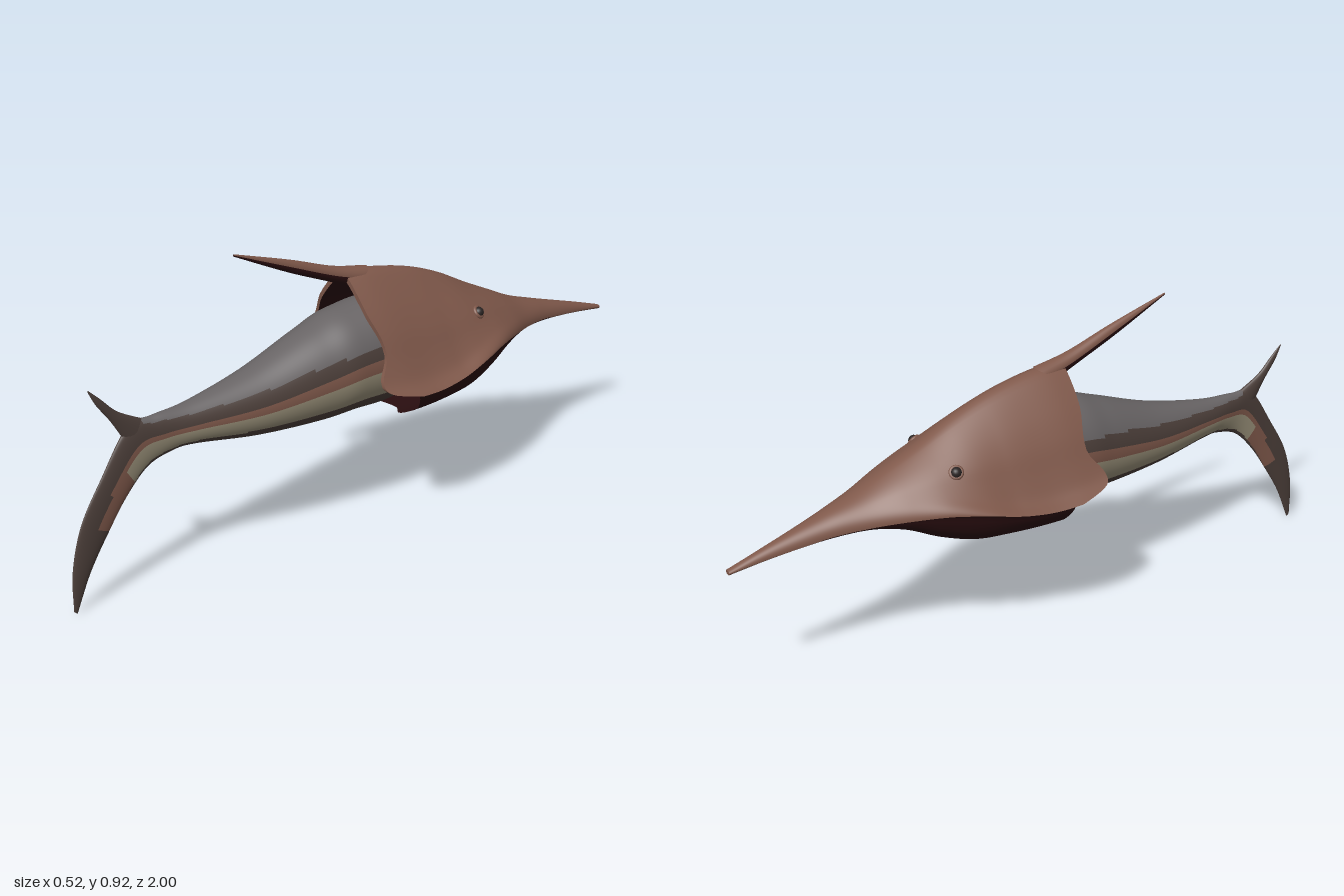
import * as THREE from 'three';

const paint = (name, color, side = THREE.DoubleSide) => {
  const m = new THREE.MeshStandardMaterial({ color, side });
  m.name = name;
  return m;
};

// Smooth interpolation through rows keyed by their first column
function sample(rows, x) {
  const n = rows.length - 1;
  let i = 0;
  while (i < n - 1 && x > rows[i + 1][0]) i++;
  const h = rows[i + 1][0] - rows[i][0];
  const t = Math.min(1, Math.max(0, (x - rows[i][0]) / h));
  const slope = (k, c) => {
    const a = rows[Math.max(0, k - 1)], b = rows[Math.min(n, k + 1)];
    return (b[c] - a[c]) / (b[0] - a[0]);
  };
  return rows[i].slice(1).map((_, j) => {
    const c = j + 1, t2 = t * t, t3 = t2 * t;
    return (2 * t3 - 3 * t2 + 1) * rows[i][c] + (t3 - 2 * t2 + t) * h * slope(i, c)
      + (3 * t2 - 2 * t3) * rows[i + 1][c] + (t3 - t2) * h * slope(i + 1, c);
  });
}

// Grid surface; pick(s, v) chooses the material of each cell
function surface(name, rows, cols, point, mats, pick = () => 0) {
  const pos = [], faces = mats.map(() => []);
  for (let i = 0; i <= rows; i++)
    for (let j = 0; j <= cols; j++) pos.push(...point(i / rows, j / cols));
  for (let i = 0; i < rows; i++)
    for (let j = 0; j < cols; j++) {
      const a = i * (cols + 1) + j, b = a + cols + 1;
      faces[pick((i + 0.5) / rows, (j + 0.5) / cols)].push(a, b, a + 1, b, b + 1, a + 1);
    }
  const g = new THREE.BufferGeometry();
  g.setAttribute('position', new THREE.Float32BufferAttribute(pos, 3));
  g.setIndex(faces.flat());
  let start = 0;
  faces.forEach((f, k) => {
    g.addGroup(start, f.length, k);
    start += f.length;
  });
  g.computeVertexNormals();
  const mesh = new THREE.Mesh(g, mats);
  mesh.name = name;
  return mesh;
}

// Elliptical loft through sections [upper z, upper y, lower z, lower y, half width]
function loft(name, sections, rows, cols, mats, pick) {
  const keyed = sections.map((s, i) => [i, ...s]);
  const last = sections.length - 1;
  return surface(name, rows, cols, (s, v) => {
    const [uz, uy, lz, ly, w] = sample(keyed, s * last);
    const a = v * Math.PI * 2, k = (1 - Math.cos(a)) / 2;
    return [w * Math.sin(a), ly + (uy - ly) * k, lz + (uz - lz) * k];
  }, mats, pick);
}

// Head armour: z, half width, crest y, brim y, belly y
const HEAD = [
  [-1, 0.012, 0.428, 0.422, 0.415], [-0.9, 0.022, 0.46, 0.437, 0.43],
  [-0.8, 0.037, 0.49, 0.452, 0.443], [-0.7, 0.058, 0.52, 0.468, 0.452],
  [-0.6, 0.092, 0.553, 0.48, 0.455], [-0.5, 0.14, 0.6, 0.492, 0.432],
  [-0.4, 0.188, 0.648, 0.498, 0.385], [-0.3, 0.225, 0.7, 0.487, 0.355],
  [-0.2, 0.245, 0.74, 0.467, 0.352], [-0.1, 0.256, 0.767, 0.457, 0.352],
  [0, 0.262, 0.783, 0.462, 0.354], [0.09, 0.258, 0.784, 0.472, 0.358],
];
const DOME = [[0, 1], [0.12, 0.96], [0.385, 0.73], [0.58, 0.5], [0.73, 0.26], [0.85, 0.1], [1, 0]];
const REAR = [[0, 0.07], [0.42, 0.065], [0.67, 0.045], [0.82, 0.085], [0.93, 0.07], [1, -0.02]];
const BELLY = [[0, 0, 1], [0.35, 0.5, 0.93], [0.6, 0.76, 0.65], [0.8, 0.88, 0.3], [0.9, 0.92, 0.07], [1, 1, 0]];
const BELLY_REAR = [[0, -0.05], [0.25, -0.06], [0.38, -0.03], [0.55, -0.05], [1, -0.02]];

function domePoint(z, u, shrink = 1) {
  const [w, top, edge] = sample(HEAD, z);
  const round = 1 - THREE.MathUtils.smoothstep(z, -0.7, -0.2);
  const h = THREE.MathUtils.lerp(sample(DOME, Math.abs(u))[0], Math.sqrt(Math.max(0, 1 - u * u)), round);
  return [u * w * shrink, edge + (top - edge) * h * shrink, z];
}
const across = v => Math.sin((v * 2 - 1) * Math.PI / 2);
const rearZ = u => sample(REAR, Math.abs(u))[0];

export function createModel() {
  const model = new THREE.Group();
  const shell = paint('shell brown', 0x80594b);
  const maroon = paint('dark maroon', 0x2a0e10);
  const grey = paint('back grey', 0x686465);
  const dusk = paint('dusky brown', 0x4c3f3a);
  const cream = paint('flank cream', 0x999079);
  const eyeDark = paint('eye dark', 0x2b2524, THREE.FrontSide);

  // Domed head shield with scalloped rear edge and long snout
  model.add(surface('headShield', 90, 64, (s, v) => {
    const u = across(v);
    return domePoint(-1 + s * (rearZ(u) + 1), u);
  }, [shell]));
  model.add(surface('shieldLining', 30, 64, (s, v) => {
    const u = across(v);
    return domePoint(-0.5 + s * (rearZ(u) + 0.5), u, 0.94);
  }, [maroon]));
  model.add(surface('shieldRim', 1, 64, (s, v) => {
    const u = across(v);
    return domePoint(rearZ(u), u, 1 - 0.06 * s);
  }, [shell]));

  // Belly plate and underside of the snout
  const under = (z, v) => {
    const [w, , edge, bottom] = sample(HEAD, z);
    const [x, d] = sample(BELLY, Math.abs(v));
    return [Math.sign(v) * x * w, edge + (bottom - edge) * d, z];
  };
  model.add(surface('bellyPlate', 50, 48, (s, v) => {
    const k = v * 2 - 1;
    return under(-0.74 + s * (sample(BELLY_REAR, Math.abs(k))[0] + 0.74), k);
  }, [maroon]));
  model.add(surface('snoutUnderside', 14, 24, (s, v) => under(-1 + s * 0.26, v * 2 - 1), [shell]));
  model.add(surface('snoutTip', 1, 24, (s, v) => {
    const a = v * Math.PI * 2;
    return [Math.sin(a) * 0.012 * s, 0.4215 + Math.cos(a) * 0.0065 * s, -1];
  }, [shell]));

  // Body tapering into the long down-swept tail lobe, banded by height
  const body = [
    [-0.3, 0.56, -0.3, 0.45, 0.03], [-0.1, 0.68, -0.1, 0.365, 0.13],
    [0.08, 0.678, 0.08, 0.36, 0.14], [0.2, 0.642, 0.2, 0.358, 0.125],
    [0.4, 0.572, 0.4, 0.372, 0.09], [0.6, 0.53, 0.6, 0.403, 0.05],
    [0.72, 0.522, 0.67, 0.4, 0.03], [0.8, 0.51, 0.745, 0.375, 0.018],
    [0.89, 0.38, 0.815, 0.305, 0.012], [0.96, 0.26, 0.875, 0.22, 0.01],
    [0.995, 0.13, 0.94, 0.115, 0.008], [1, 0.01, 0.99, 0.001, 0.002],
  ];
  model.add(loft('bodyAndTail', body, 132, 80, [grey, dusk, shell, cream], (s, v) => {
    const t = s * 11, f = (1 - Math.cos(v * Math.PI * 2)) / 2;
    const backLine = 0.68 + 0.05 * Math.max(0, t - 2);
    if (f > backLine && t < 6.5) return 0;
    if (f < 0.2 - 0.04 * Math.max(0, t - 4) || t > 9) return 1;
    if (f < 0.46) return t < 7.6 ? 3 : 2;
    return f < 0.57 && t < 8.2 ? 2 : 1;
  }));

  // Short upper tail lobe
  model.add(loft('upperTailFin', [
    [0.74, 0.515, 0.81, 0.47, 0.015], [0.825, 0.562, 0.85, 0.54, 0.009],
    [0.875, 0.612, 0.89, 0.598, 0.006], [0.91, 0.646, 0.912, 0.642, 0.001],
  ], 20, 20, [dusk]));

  // Spine rising from the back of the shield, dark beneath
  model.add(loft('backSpine', [
    [-0.02, 0.785, 0.06, 0.742, 0.032], [0.1, 0.81, 0.12, 0.768, 0.024],
    [0.25, 0.862, 0.262, 0.828, 0.015], [0.44, 0.92, 0.442, 0.914, 0.002],
  ], 30, 24, [shell, maroon], (s, v) => (v > 0.25 && v < 0.75 ? 0 : 1)));

  // Small eyes set in raised sockets
  for (const side of [-1, 1]) {
    const eye = new THREE.Group();
    eye.name = side > 0 ? 'leftEye' : 'rightEye';
    const ball = new THREE.Mesh(new THREE.SphereGeometry(0.016, 20, 14), eyeDark);
    ball.name = 'eyeball';
    const socket = new THREE.Mesh(new THREE.TorusGeometry(0.016, 0.006, 10, 24), shell);
    socket.name = 'eyeSocket';
    eye.add(ball, socket);
    eye.position.set(...domePoint(-0.355, side * 0.585));
    eye.lookAt(eye.position.clone().add(new THREE.Vector3(side * 0.75, 0.6, -0.3)));
    model.add(eye);
  }
  return model;
}
